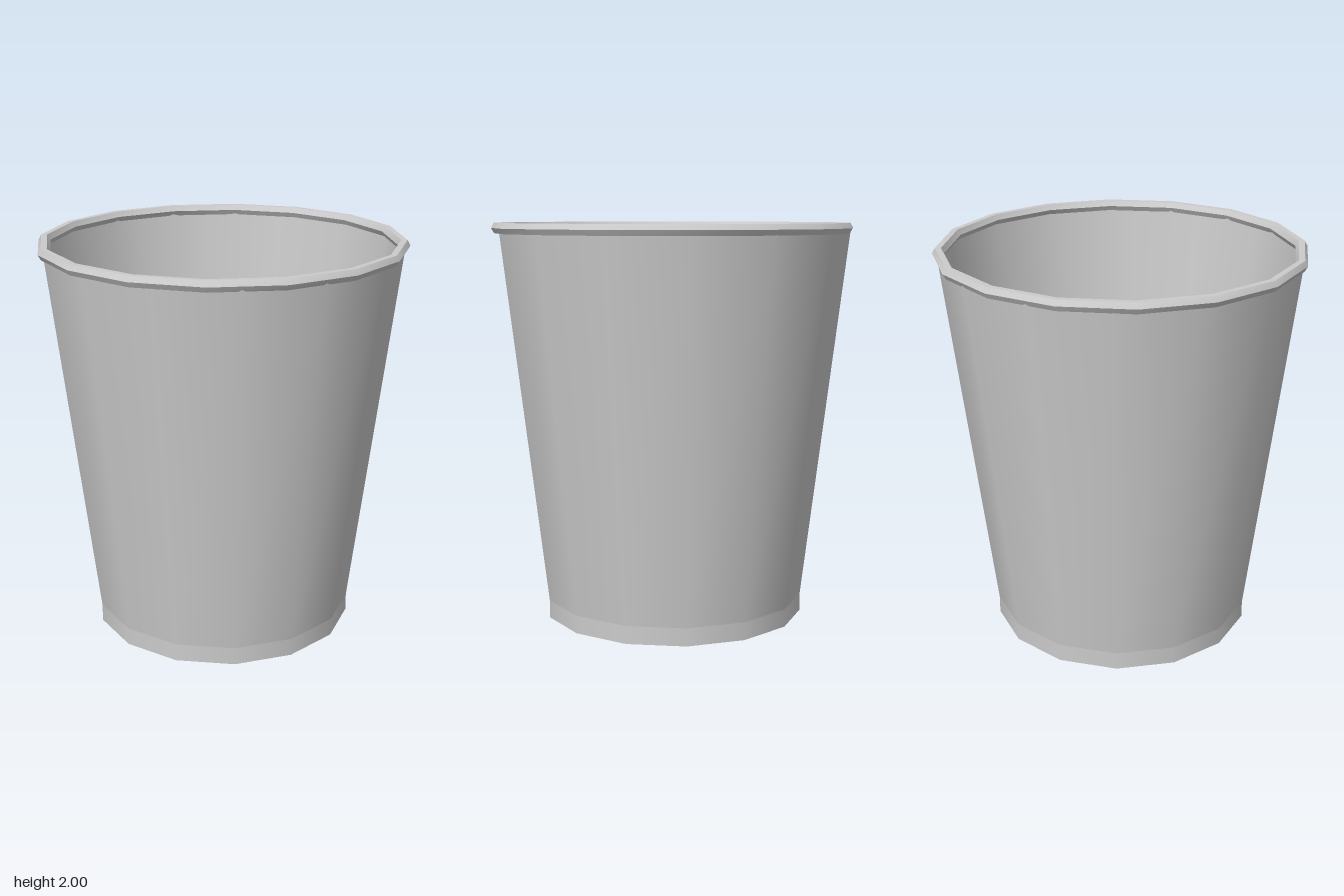
import * as THREE from 'three';
import { toCreasedNormals } from 'three/addons/utils/BufferGeometryUtils.js';

const SIDES = 14;
const RADIUS = 0.665;
const FLOOR_Y = 0.09;

export function createModel() {
  const cup = new THREE.Group();
  cup.name = 'cup';
  const material = new THREE.MeshStandardMaterial({ color: 0xcccccc, side: THREE.DoubleSide });

  const add = (name, geometry, y) => {
    const mesh = new THREE.Mesh(geometry, material);
    mesh.name = name;
    mesh.position.y = y;
    cup.add(mesh);
  };

  // Open band of wall, with a corner on the x axis
  const wall = (name, bottomRadius, topRadius, y0, y1) =>
    add(name, new THREE.CylinderGeometry(topRadius, bottomRadius, y1 - y0, SIDES, 1, true, Math.PI / 2), (y0 + y1) / 2);

  // Straight foot below the tapered body
  wall('foot', RADIUS, RADIUS, 0, FLOOR_Y);
  wall('body', RADIUS, 0.89, FLOOR_Y, 1.974);

  // Floor, raised above the bottom edge of the foot
  add('floor', new THREE.CircleGeometry(RADIUS, SIDES).rotateX(-Math.PI / 2), FLOOR_Y);

  // Rolled rim: six-sided tube with sharp lengthwise edges
  const rim = new THREE.TorusGeometry(0.885, 0.03, 6, 16).rotateX(Math.PI / 2);
  add('rim', toCreasedNormals(rim, 0.6), 1.974);

  return cup;
}
